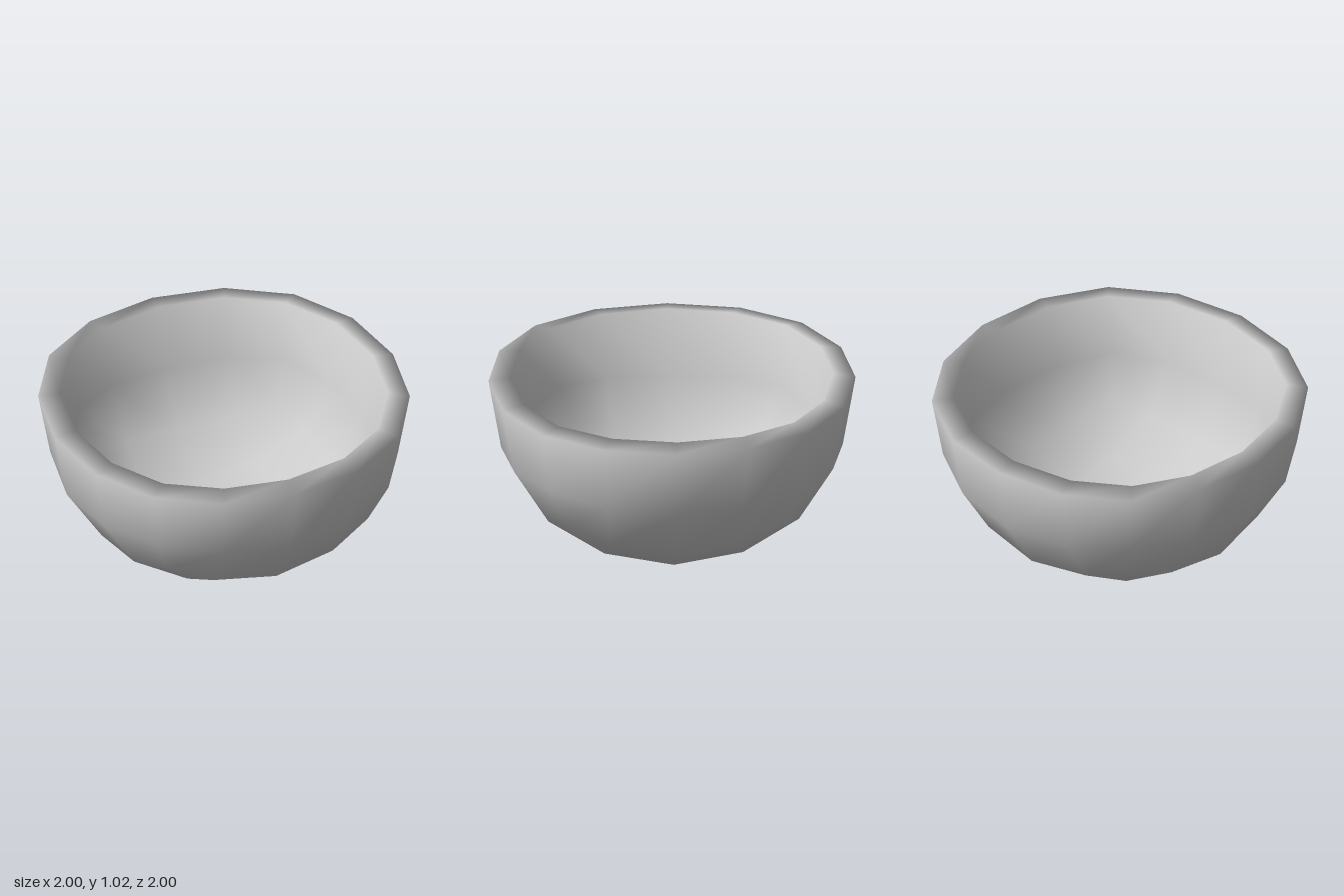
import * as THREE from 'three';
import { mergeVertices } from 'three/addons/utils/BufferGeometryUtils.js';

const THICKNESS = 0.12;

// Rounded position of each kind of cube grid point, keyed by its sorted
// absolute coordinates (in half steps): old coordinate -> new coordinate
const ROUNDED = {
  '200': { 2: 1, 0: 0 },
  '210': { 2: 0.931, 1: 0.397, 0: 0 },
  '211': { 2: 0.868, 1: 0.377 },
  '220': { 2: 0.726, 0: 0 },
  '221': { 2: 0.683, 1: 0.353 },
  '222': { 2: 0.596 },
};

function roundPoint(p) {
  const steps = p.map((c) => Math.round(Math.abs(c) * 2));
  const rule = ROUNDED[[...steps].sort((a, b) => b - a).join('')];
  return p.map((c, i) => Math.sign(c) * rule[steps[i]]);
}

// Lower half of a 4 x 4 x 4 cube, rounded into an open hemisphere
function outerShell() {
  const src = new THREE.BoxGeometry(2, 2, 2, 4, 4, 4).toNonIndexed().attributes.position;
  const positions = [];
  for (let i = 0; i < src.count; i += 3) {
    const tri = [0, 1, 2].map((k) => [src.getX(i + k), src.getY(i + k), src.getZ(i + k)]);
    if (tri[0][1] + tri[1][1] + tri[2][1] > -0.01) continue;
    for (const p of tri) positions.push(...roundPoint(p));
  }
  const geo = new THREE.BufferGeometry();
  geo.setAttribute('position', new THREE.Float32BufferAttribute(positions, 3));
  const merged = mergeVertices(geo, 1e-3);
  merged.computeVertexNormals();
  return merged;
}

// Outer skin, inner skin offset along the normals, and the rim joining them
function bowlGeometry() {
  const shell = outerShell();
  const pos = shell.attributes.position;
  const nor = shell.attributes.normal;
  const tris = shell.index.array;
  const n = pos.count;
  const outer = [];
  const inner = [];
  for (let i = 0; i < n; i++) {
    const p = new THREE.Vector3().fromBufferAttribute(pos, i);
    const d = new THREE.Vector3().fromBufferAttribute(nor, i);
    p.y += 1;
    outer.push(p.x, p.y, p.z);
    p.addScaledVector(d, -THICKNESS);
    inner.push(p.x, p.y, p.z);
  }

  const index = [];
  const onRim = (i) => Math.abs(pos.getY(i)) < 1e-4;
  for (let t = 0; t < tris.length; t += 3) {
    const tri = [tris[t], tris[t + 1], tris[t + 2]];
    index.push(...tri, tri[2] + n, tri[1] + n, tri[0] + n);
    for (let k = 0; k < 3; k++) {
      const a = tri[k];
      const b = tri[(k + 1) % 3];
      if (onRim(a) && onRim(b)) index.push(b, a, a + n, b, a + n, b + n);
    }
  }

  const geo = new THREE.BufferGeometry();
  geo.setAttribute('position', new THREE.Float32BufferAttribute([...outer, ...inner], 3));
  geo.setIndex(index);
  geo.computeVertexNormals();
  return geo;
}

export function createModel() {
  const group = new THREE.Group();
  const bowl = new THREE.Mesh(bowlGeometry(), new THREE.MeshStandardMaterial({ color: 0xcccccc }));
  bowl.name = 'bowl';
  group.add(bowl);
  return group;
}
